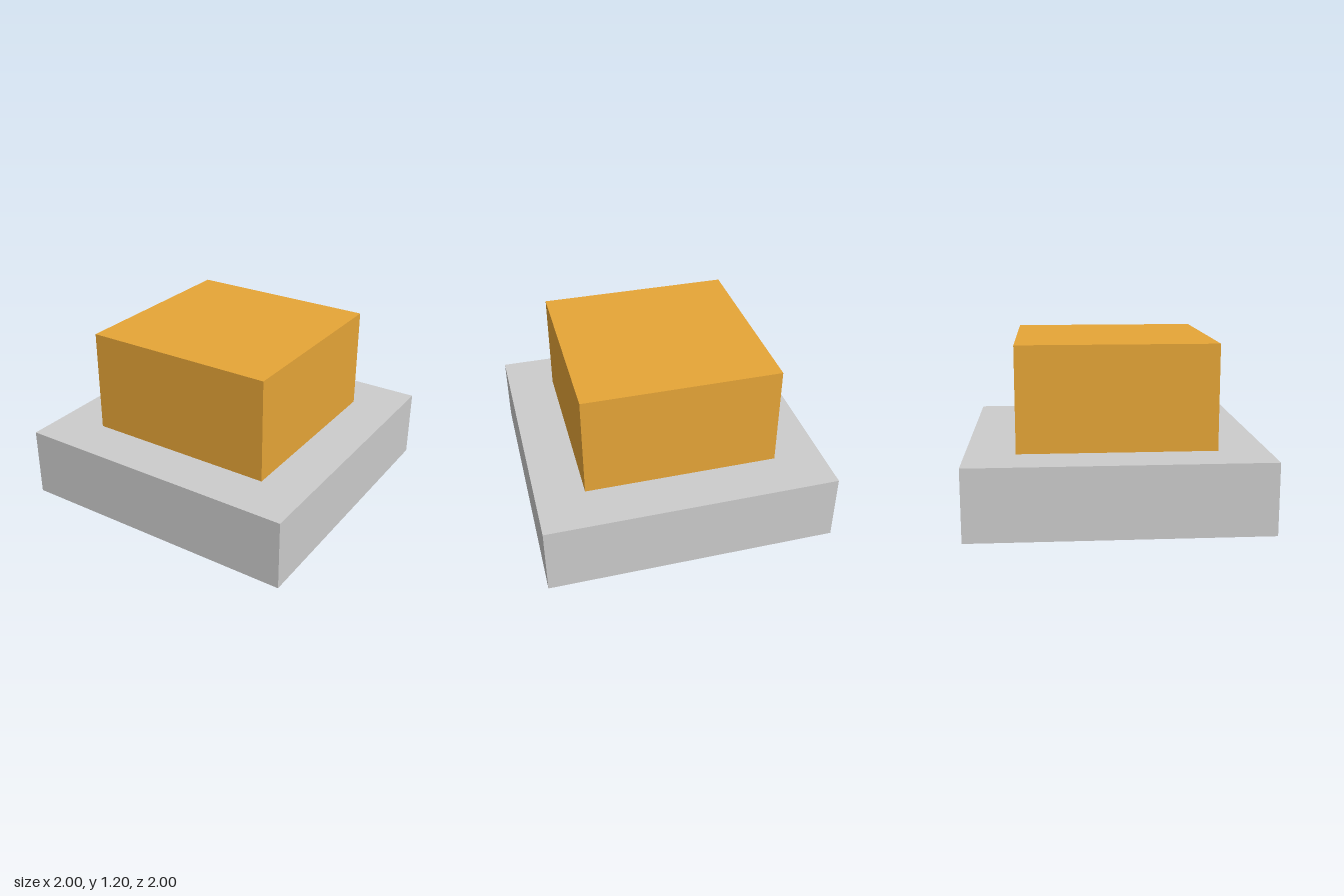
import * as THREE from 'three';

// Square block whose underside sits at the given height
function block(name, width, height, bottom, color) {
  const mesh = new THREE.Mesh(
    new THREE.BoxGeometry(width, height, width),
    new THREE.MeshStandardMaterial({ color })
  );
  mesh.name = name;
  mesh.position.y = bottom + height / 2;
  return mesh;
}

export function createModel() {
  const group = new THREE.Group();
  group.name = 'steppedBlock';

  const baseHeight = 0.484;
  const topHeight = 0.712;

  // Wide grey plinth
  group.add(block('base', 2, baseHeight, 0, 0xcccccc));
  // Smaller amber block centred on the plinth
  group.add(block('upperBlock', 1.334, topHeight, baseHeight, 0xe6a537));

  return group;
}
